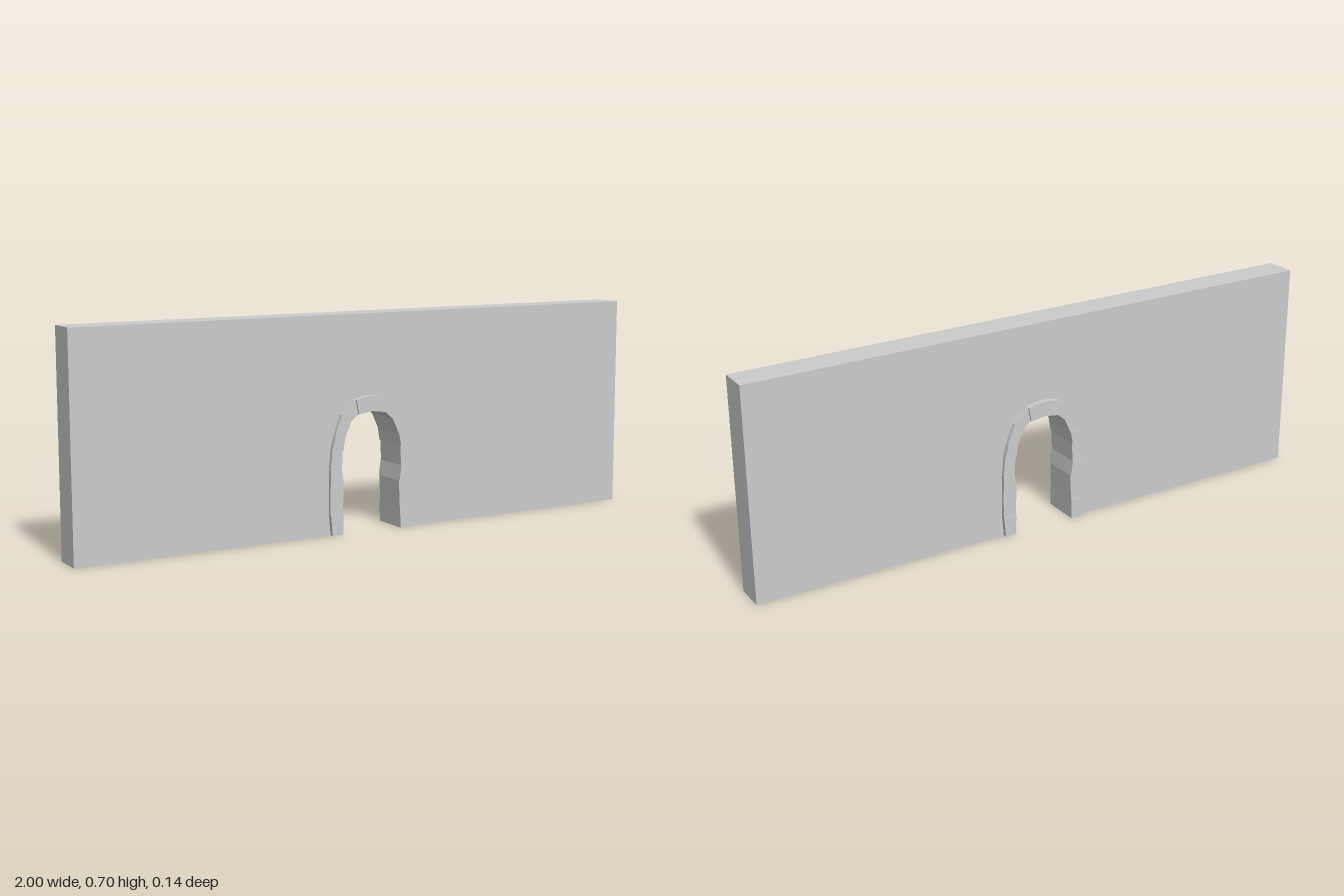
import * as THREE from 'three';

const material = new THREE.MeshStandardMaterial({ color: 0xcccccc, flatShading: true });

// Joints up one side of the arch: outer x, y, inner x, y, half depth of the stone above
const JOINTS = [
  [0.145, 0, 0.107, 0, 0.064],
  [0.151, 0.067, 0.106, 0.07, 0.061],
  [0.151, 0.16, 0.103, 0.155, 0.0645],
  [0.151, 0.21, 0.11, 0.205, 0.062],
  [0.143, 0.285, 0.107, 0.27, 0.0665],
  [0.135, 0.32, 0.1, 0.31, 0.064],
  [0.11, 0.385, 0.077, 0.36, 0.062],
  [0.06, 0.43, 0.05, 0.383, 0.068],
];
const KEY_TOP = [0, 0.44], KEY_BOTTOM = [0, 0.39];

// Flat outline pushed out evenly to the front and back
function slab(name, points, halfDepth) {
  const shape = new THREE.Shape(points.map(([x, y]) => new THREE.Vector2(x, y)));
  const geometry = new THREE.ExtrudeGeometry(shape, { depth: halfDepth * 2, bevelEnabled: false });
  geometry.translate(0, 0, -halfDepth);
  const mesh = new THREE.Mesh(geometry, material);
  mesh.name = name;
  return mesh;
}

const mirror = ([x, y]) => [-x, y];
const outer = (j) => [j[0], j[1]];
const inner = (j) => [j[2], j[3]];

export function createModel() {
  const model = new THREE.Group();
  model.name = 'wallWithArchway';

  // Wall, its opening hidden behind the middle of the stones
  const middle = JOINTS.map((j) => [(j[0] + j[2]) / 2, (j[1] + j[3]) / 2]);
  const opening = [...middle, [0, 0.415], ...middle.map(mirror).reverse()];
  model.add(slab('wall', [[-1, 0], [-1, 0.7], [1, 0.7], [1, 0], ...opening], 0.05));

  // Stones up both sides
  const arch = new THREE.Group();
  arch.name = 'stoneArch';
  for (let i = 0; i < JOINTS.length - 1; i++) {
    const a = JOINTS[i], b = JOINTS[i + 1];
    const stone = [inner(a), outer(a), outer(b), inner(b)];
    arch.add(slab(`leftStone${i + 1}`, stone, a[4]));
    arch.add(slab(`rightStone${i + 1}`, stone.map(mirror), a[4]));
  }

  // Keystone
  const last = JOINTS[JOINTS.length - 1];
  const keystone = [KEY_BOTTOM, inner(last), outer(last), [0.03, 0.438], KEY_TOP,
    [-0.03, 0.438], mirror(outer(last)), mirror(inner(last))];
  arch.add(slab('keystone', keystone, last[4]));
  model.add(arch);
  return model;
}
